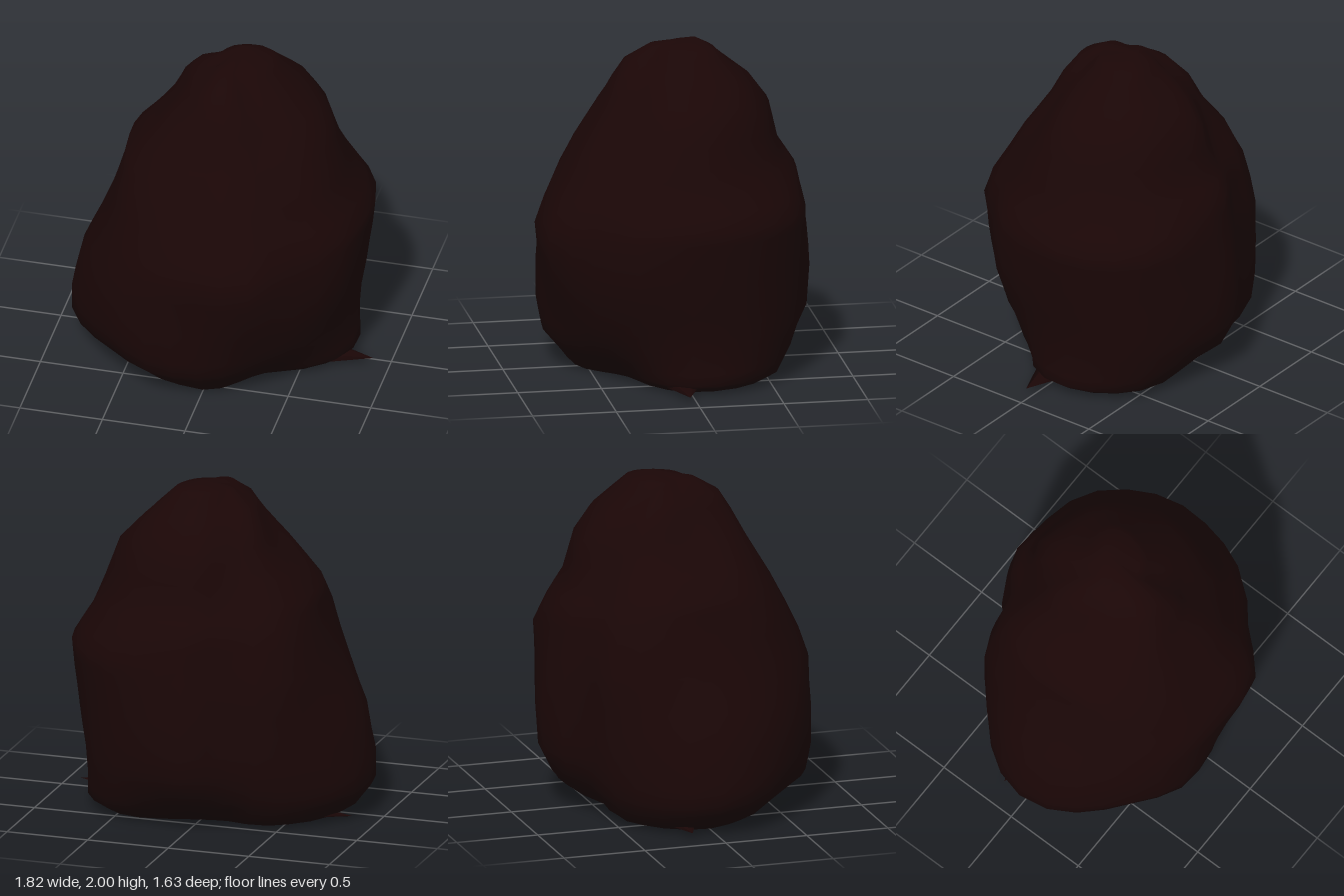
import * as THREE from 'three';

// Height followed by the radius in eight directions, from +x round through +z
const RINGS = [
  [0.01, 0.70, 0.44, 0.57, 0.48, 0.72, 0.60, 0.44, 0.68],
  [0.06, 0.77, 0.50, 0.62, 0.62, 0.82, 0.68, 0.55, 0.76],
  [0.19, 0.76, 0.62, 0.72, 0.78, 0.92, 0.75, 0.71, 0.80],
  [0.36, 0.77, 0.71, 0.74, 0.83, 0.91, 0.77, 0.80, 0.83],
  [0.60, 0.82, 0.77, 0.765, 0.83, 0.85, 0.78, 0.81, 0.85],
  [0.85, 0.845, 0.78, 0.80, 0.77, 0.745, 0.78, 0.785, 0.88],
  [1.02, 0.855, 0.75, 0.735, 0.72, 0.68, 0.75, 0.765, 0.89],
  [1.20, 0.75, 0.65, 0.64, 0.67, 0.62, 0.71, 0.74, 0.78],
  [1.36, 0.69, 0.57, 0.56, 0.59, 0.585, 0.63, 0.63, 0.69],
  [1.60, 0.59, 0.42, 0.42, 0.42, 0.37, 0.46, 0.57, 0.62],
  [1.75, 0.44, 0.33, 0.35, 0.29, 0.27, 0.38, 0.46, 0.52],
  [1.86, 0.32, 0.22, 0.28, 0.20, 0.20, 0.27, 0.32, 0.40],
  [1.95, 0.21, 0.12, 0.13, 0.06, 0.04, 0.12, 0.20, 0.30],
];
// Fullness of the plan between the eight directions, near the foot and higher up
const FOOT_BULGES = [1, 0.97, 1.04, 1, 1, 0.9, 0.97, 1];
const UPPER_BULGES = [1.03, 1.09, 1.02, 1, 1, 0.87, 0.97, 1];
const SIDES = 32;

// Smooth closed interpolation between the eight radii of a ring
function radiusAt(ring, u) {
  const k = Math.floor(u), f = u - k;
  const r = (n) => ring[1 + ((n + 8) % 8)];
  const [a, b, c, d] = [r(k - 1), r(k), r(k + 1), r(k + 2)];
  const smooth = b + 0.5 * f * (c - a + f * (2 * a - 5 * b + 4 * c - d + f * (3 * (b - c) + d - a)));
  const rise = THREE.MathUtils.smoothstep(ring[0], 0.2, 0.85);
  const bulge = THREE.MathUtils.lerp(FOOT_BULGES[k], UPPER_BULGES[k], rise);
  return smooth * (1 + (bulge - 1) * (1 - Math.abs(2 * f - 1)));
}

// Shallow dents and creases, fading at the foot and crown
function dent(angle, y) {
  return Math.sin(Math.PI * y / 2)
    * (0.006 * Math.sin(3 * angle + 4 * y) * Math.sin(5 * y + 1) + 0.006 * Math.sin(7 * angle - 3 * y));
}

function rockGeometry() {
  const points = [], index = [];
  // One extra row between each pair of rings
  const rows = [];
  RINGS.forEach((ring, j) => {
    rows.push(ring);
    const next = RINGS[j + 1];
    if (next) rows.push(ring.map((v, i) => (v + next[i]) / 2));
  });
  for (const ring of rows) {
    for (let i = 0; i < SIDES; i++) {
      const a = (i / SIDES) * Math.PI * 2;
      const r = radiusAt(ring, (i / SIDES) * 8) + dent(a, ring[0]);
      points.push(r * Math.cos(a), ring[0], r * Math.sin(a));
    }
  }
  const base = points.length / 3, peak = base + 1;
  points.push(0, 0, 0, 0.07, 2, -0.13);
  const last = (rows.length - 1) * SIDES;
  for (let i = 0; i < SIDES; i++) {
    const n = (i + 1) % SIDES;
    for (let j = 0; j < rows.length - 1; j++) {
      const p = j * SIDES + i, q = j * SIDES + n;
      index.push(p, p + SIDES, q, q, p + SIDES, q + SIDES);
    }
    index.push(base, i, n, peak, last + n, last + i);
  }
  const geometry = new THREE.BufferGeometry();
  geometry.setAttribute('position', new THREE.Float32BufferAttribute(points, 3));
  geometry.setIndex(index);
  geometry.computeVertexNormals();
  return geometry;
}

export function createModel() {
  const model = new THREE.Group();
  model.name = 'boulder';
  const stone = new THREE.MeshStandardMaterial({ color: 0x1a0606 });
  stone.name = 'dark red brown stone';

  const rock = new THREE.Mesh(rockGeometry(), stone);
  rock.name = 'rockBody';
  model.add(rock);

  // Thin splinters sticking out at the foot on both sides
  for (const [name, side, tip, z] of [['leftSplinter', 1, 0.9, 0.04], ['rightSplinter', -1, 0.86, -0.16]]) {
    const splinter = new THREE.Mesh(new THREE.ConeGeometry(0.1, 0.24, 6), stone);
    splinter.name = name;
    splinter.rotation.z = -side * Math.PI / 2;
    splinter.scale.x = 0.22;
    splinter.position.set(side * (tip - 0.12), 0.035, z);
    model.add(splinter);
  }
  return model;
}
